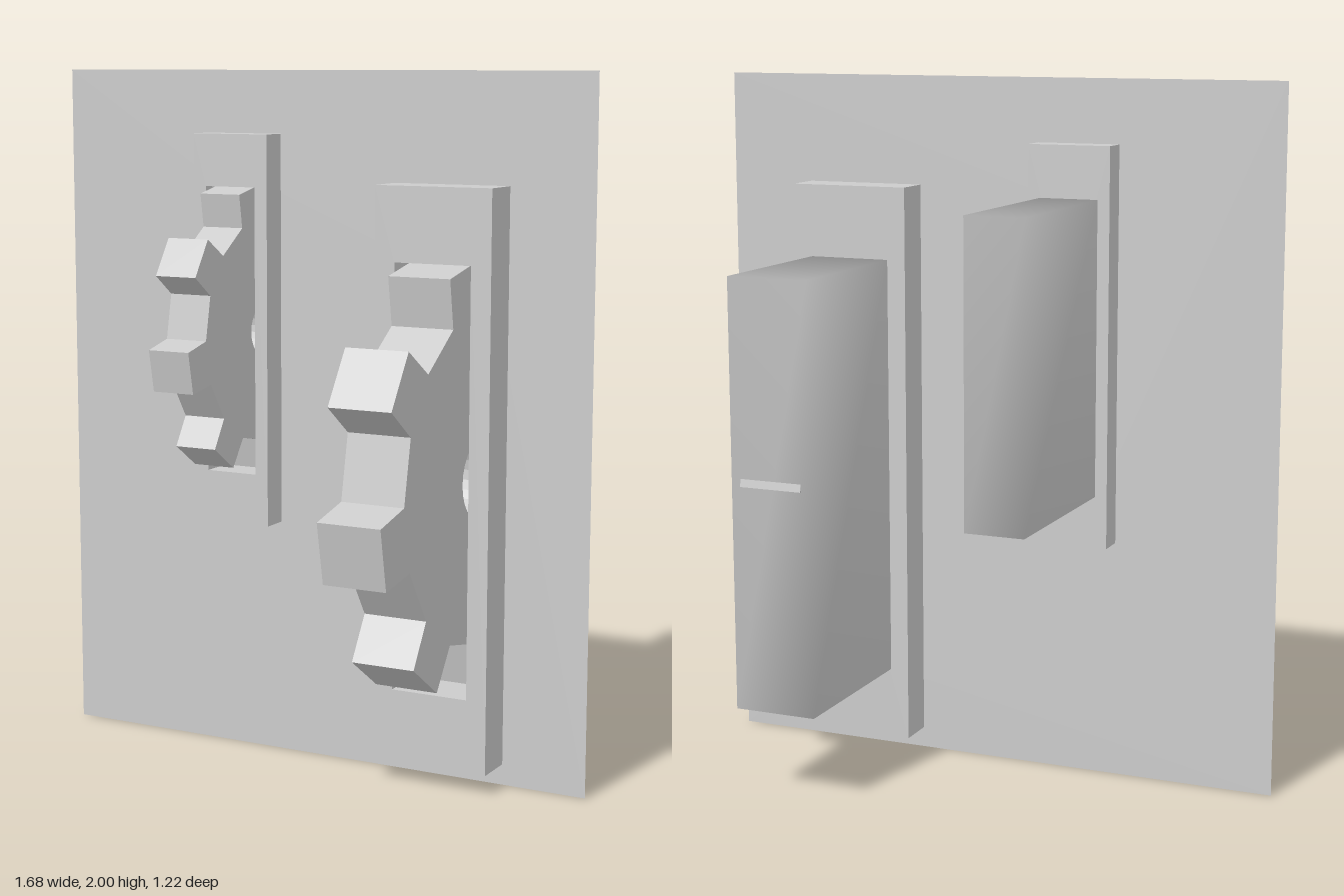
import * as THREE from 'three';
import { mergeVertices } from 'three/addons/utils/BufferGeometryUtils.js';

const grey = new THREE.MeshStandardMaterial({ color: 0xcccccc });
const greyDouble = new THREE.MeshStandardMaterial({ color: 0xcccccc, side: THREE.DoubleSide });

// Two gear units: centre, slot, frame and gear sizes
const units = [
  { name: 'large', x: 0.414, y: 0.875, slotW: 0.23, slotH: 1.21, frameW: 0.35, frameH: 1.63,
    zFront: 0.12, zBack: -0.11, gearR: 0.61, gearT: 0.185 },
  { name: 'small', x: -0.245, y: 1.255, slotW: 0.16, slotH: 0.83, frameW: 0.24, frameH: 1.13,
    zFront: 0.082, zBack: -0.076, gearR: 0.421, gearT: 0.128 },
];
const HOUSING_BACK = -0.605;

function rectPoints(cx, cy, w, h) {
  return [[-1, -1], [1, -1], [1, 1], [-1, 1]].map(
    ([sx, sy]) => new THREE.Vector2(cx + sx * w / 2, cy + sy * h / 2));
}

function addMesh(parent, name, geometry, material = grey) {
  const mesh = new THREE.Mesh(geometry, material);
  mesh.name = name;
  parent.add(mesh);
  return mesh;
}

// Eight-toothed wheel with an axle hole, turning about the x axis
function gearGeometry(radius, thickness) {
  const teeth = 8;
  const root = radius * 0.775;
  const points = [];
  for (let i = 0; i < teeth; i++) {
    const mid = THREE.MathUtils.degToRad(-11.1 + i * 360 / teeth);
    for (const [r, degrees] of [[root, -11.25], [radius, -8.3], [radius, 8.3], [root, 11.25]]) {
      const a = mid + THREE.MathUtils.degToRad(degrees);
      points.push(new THREE.Vector2(Math.cos(a) * r, Math.sin(a) * r));
    }
  }
  const shape = new THREE.Shape(points);
  shape.holes.push(new THREE.Path().absarc(0, 0, radius * 0.18, 0, Math.PI * 2, true));
  const geometry = new THREE.ExtrudeGeometry(shape, { depth: thickness, bevelEnabled: false, curveSegments: 12 });
  geometry.translate(0, 0, -thickness / 2);
  geometry.rotateY(-Math.PI / 2);
  return geometry;
}

// Box whose normals are shared across its corners for soft shading
function softBox(w, h, d) {
  const box = new THREE.BoxGeometry(w, h, d);
  box.deleteAttribute('normal');
  box.deleteAttribute('uv');
  const geometry = mergeVertices(box);
  geometry.computeVertexNormals();
  return geometry;
}

export function createModel() {
  const model = new THREE.Group();
  model.name = 'gearPanel';

  // Thin wall panel with an opening for each slot
  const panel = new THREE.Shape(rectPoints(0, 1, 1.68, 2));
  for (const u of units) {
    panel.holes.push(new THREE.Path(rectPoints(u.x, u.y, u.slotW, u.slotH)));
  }
  addMesh(model, 'wallPanel', new THREE.ShapeGeometry(panel), greyDouble);

  for (const u of units) {
    const unit = new THREE.Group();
    unit.name = u.name + 'GearUnit';
    unit.position.set(u.x, u.y, 0);
    model.add(unit);

    // Slotted frame through the wall
    const frame = new THREE.Shape(rectPoints(0, 0, u.frameW, u.frameH));
    frame.holes.push(new THREE.Path(rectPoints(0, 0, u.slotW, u.slotH)));
    const frameGeometry = new THREE.ExtrudeGeometry(frame, { depth: u.zFront - u.zBack, bevelEnabled: false });
    addMesh(unit, 'slotFrame', frameGeometry).position.z = u.zBack;

    // Gear half sunk in the slot
    addMesh(unit, 'gear', gearGeometry(u.gearR, u.gearT));

    // Housing behind the frame
    const depth = u.zBack - HOUSING_BACK;
    const housing = addMesh(unit, 'rearHousing', softBox(u.slotW + 0.01, u.slotH + 0.005, depth));
    housing.position.z = u.zBack - depth / 2;
  }
  return model;
}
